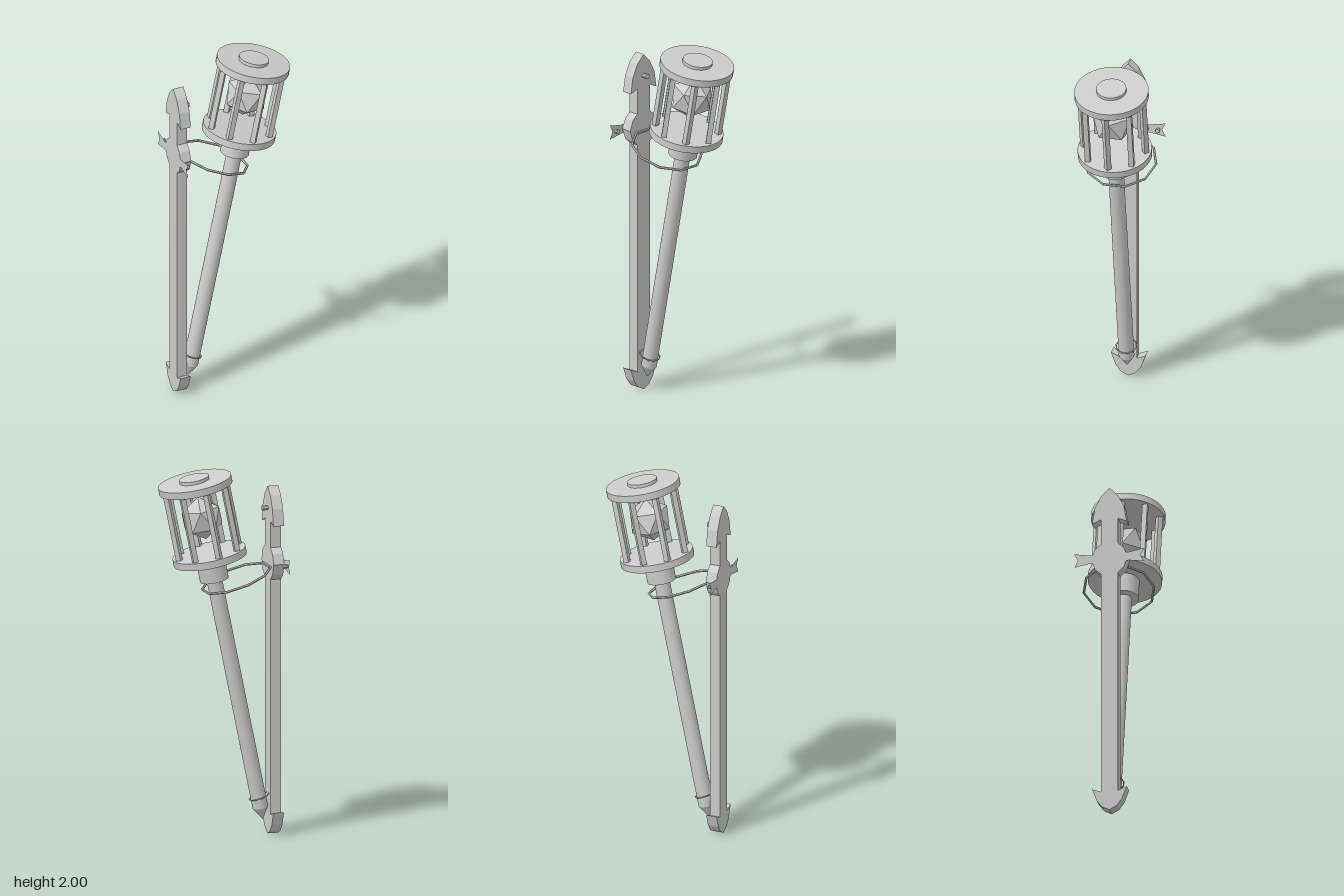
import * as THREE from 'three';

export function createModel() {
  const root = new THREE.Group();
  const smooth = new THREE.MeshStandardMaterial({ color: 0xcccccc });
  smooth.name = 'grey metal';
  const flat = smooth.clone();
  flat.name = 'grey metal faceted';
  flat.flatShading = true;
  const sheet = smooth.clone();
  sheet.name = 'grey metal sheet';
  sheet.side = THREE.DoubleSide;

  const add = (parent, name, geo, mat = smooth) => {
    const m = new THREE.Mesh(geo, mat);
    m.name = name;
    parent.add(m);
    return m;
  };

  // Mirrored outline: points run up the +z edge, then back down the other
  const outline = (pts) => {
    const other = pts.filter((p) => p[0] > 0).reverse().map(([a, b]) => [-a, b]);
    return new THREE.Shape([...pts, ...other].map(([a, b]) => new THREE.Vector2(a, b)));
  };

  // Wall bracket: spade foot, straight bar, round boss, pointed head
  const bracket = new THREE.Group();
  bracket.name = 'wallBracket';
  root.add(bracket);
  const plate = new THREE.ExtrudeGeometry(outline([
    [0, 0], [0.04, 0.02], [0.07, 0.06], [0.095, 0.13], [0.047, 0.11],
    [0.047, 1.4], [0.08, 1.43], [0.1, 1.49], [0.08, 1.545], [0.047, 1.575],
    [0.047, 1.72], [0.095, 1.7], [0.08, 1.79], [0.045, 1.86], [0, 1.905],
  ]), { depth: 0.06, bevelEnabled: false });
  plate.rotateY(Math.PI / 2).translate(-0.338, 0, 0);
  add(bracket, 'backPlate', plate, flat);

  // Thin cross strap with notched ends
  const strap = new THREE.ShapeGeometry(outline([
    [0, 1.465], [0.11, 1.465], [0.193, 1.45], [0.172, 1.49],
    [0.193, 1.53], [0.11, 1.515], [0, 1.515],
  ]));
  strap.rotateY(Math.PI / 2).translate(-0.339, 0, 0);
  add(bracket, 'crossStrap', strap, sheet);

  // Rivets: lathed stem with a slightly wider, pointed head
  const rivet = (name, x, y, z, len, r) => {
    const prof = [[r * 0.8, 0], [r * 0.8, len * 0.75], [r, len * 0.75], [r * 0.9, len * 0.9], [0, len]];
    const g = new THREE.LatheGeometry(prof.map(([a, b]) => new THREE.Vector2(a, b)), 8);
    g.rotateZ(-Math.PI / 2).translate(x, y, z);
    add(bracket, name, g, flat);
  };
  rivet('headRivet', -0.28, 1.785, 0, 0.037, 0.016);
  for (const s of [-1, 1]) rivet('strapRivet', -0.339, 1.49, 0.152 * s, 0.027, 0.013);

  // Ten-sided holding rings, sloping down away from the wall
  const ring = (name, x, y, r, tube) => {
    const g = new THREE.TorusGeometry(r, tube, 6, 10);
    g.rotateZ(Math.PI / 10).rotateX(Math.PI / 2).rotateZ(-0.34).translate(x, y, 0);
    add(root, name, g, flat);
  };
  ring('upperRing', -0.1, 1.41, 0.193, 0.007);
  ring('lowerRing', -0.23, 0.207, 0.056, 0.0035);

  // Leaning torch, built upright from its tip
  const torch = new THREE.Group();
  torch.name = 'torch';
  torch.position.set(-0.25, 0.08, 0);
  torch.rotation.z = -0.203;
  root.add(torch);
  const disc = (name, r, y0, y1, rBottom = r) => {
    const g = new THREE.CylinderGeometry(r, rBottom, y1 - y0, 36);
    add(torch, name, g.translate(0, (y0 + y1) / 2, 0));
  };
  disc('handleTip', 0.042, 0, 0.068, 0.0005);
  disc('handle', 0.042, 0.068, 1.37);
  disc('collar', 0.078, 1.36, 1.48);
  disc('lanternBase', 0.2, 1.476, 1.516);
  disc('lanternLid', 0.2, 1.88, 1.92);
  disc('lidCap', 0.081, 1.92, 1.938);

  // Square cage bars set cornerwise
  for (let i = 0; i < 8; i++) {
    const g = new THREE.CylinderGeometry(0.02, 0.02, 0.37, 4);
    g.translate(0.17, 1.698, 0).rotateY((i * Math.PI) / 4);
    add(torch, 'cageBar', g, flat);
  }

  // Faceted crystal with a corner pointing up
  const crystal = new THREE.IcosahedronGeometry(0.12, 0);
  crystal.rotateZ(-0.5536).translate(0, 1.71, 0);
  add(torch, 'crystal', crystal, flat);

  return root;
}
